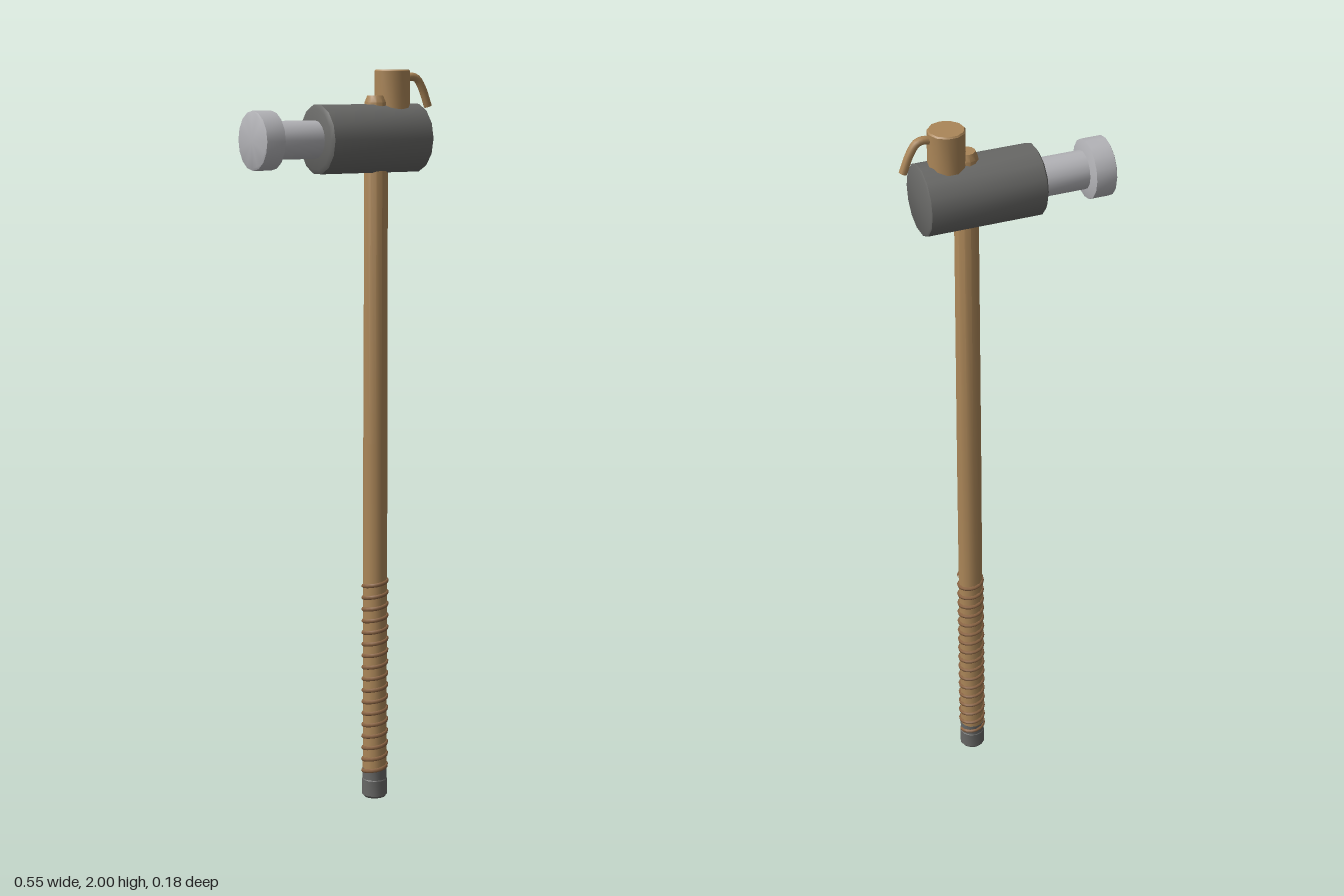
import * as THREE from 'three';
import { toCreasedNormals } from 'three/addons/utils/BufferGeometryUtils.js';

const mat = (color) => new THREE.MeshStandardMaterial({ color });

export function createModel() {
  const group = new THREE.Group();
  const wood = mat(0xab8658), iron = mat(0x686866), steel = mat(0xb4b4b8), cord = mat(0x8c6544);
  const add = (name, geometry, material) => {
    const mesh = new THREE.Mesh(geometry, material);
    mesh.name = name;
    group.add(mesh);
    return mesh;
  };
  // Turned solid: profile of [radius, height], closed at both ends, with sharp rims
  const turned = (profile, sides) => {
    const points = [[0, profile[0][1]], ...profile, [0, profile.at(-1)[1]]];
    return toCreasedNormals(new THREE.LatheGeometry(points.map(([r, y]) => new THREE.Vector2(r, y)), sides), 0.6);
  };
  const headY = 1.82, shaftX = 0.1;

  // Head: iron barrel, steel neck and striking face along x
  const headPart = (name, profile, sides, material) => {
    const geometry = turned(profile, sides).rotateZ(-Math.PI / 2);
    add(name, geometry, material).position.y = headY;
  };
  headPart('headBarrel', [[0.08, -0.088], [0.092, -0.081], [0.092, 0.222], [0.087, 0.225]], 14, iron);
  headPart('headNeck', [[0.05, -0.225], [0.05, -0.08]], 16, steel);
  headPart('strikingFace', [[0.071, -0.277], [0.077, -0.274], [0.077, -0.22], [0.052, -0.213]], 16, steel);

  // Shaft passes through the head and pokes out on top
  add('shaft', turned([[0.033, 0.03], [0.033, 1.0], [0.031, 1.915], [0.024, 1.932]], 12), wood).position.x = shaftX;

  // Grey end cap in two steps
  add('endCap', turned([[0.03, 0], [0.035, 0.006], [0.035, 0.05], [0.0335, 0.052], [0.0335, 0.082]], 12), iron).position.x = shaftX;

  // Cord wound around the grip
  const turns = 17, path = [];
  for (let i = 0; i <= turns * 12; i++) {
    const a = (i / 12) * Math.PI * 2;
    path.push(new THREE.Vector3(0.032 * Math.cos(a), 0.06 + (0.56 * i) / (turns * 12), -0.032 * Math.sin(a)));
  }
  const coil = new THREE.TubeGeometry(new THREE.CatmullRomCurve3(path), turns * 16, 0.006, 6);
  add('gripWrap', coil, cord).position.x = shaftX;

  // Wooden peg on top of the head
  add('topPeg', turned([[0.048, 1.87], [0.048, 1.996], [0.045, 2]], 11), wood).position.x = 0.15;

  // Curved hook beside the peg, tapering slightly toward its root
  const hookPath = new THREE.CatmullRomCurve3([
    [0.18, 1.972], [0.205, 1.981], [0.226, 1.977], [0.244, 1.952], [0.264, 1.902],
  ].map(([x, y]) => new THREE.Vector3(x, y, 0)));
  add('hook', new THREE.TubeGeometry(hookPath, 16, 0.011, 8), wood);
  const tip = add('hookTip', new THREE.CircleGeometry(0.011, 8), wood);
  tip.position.copy(hookPath.getPoint(1));
  tip.lookAt(tip.position.clone().add(hookPath.getTangent(1)));

  return group;
}
